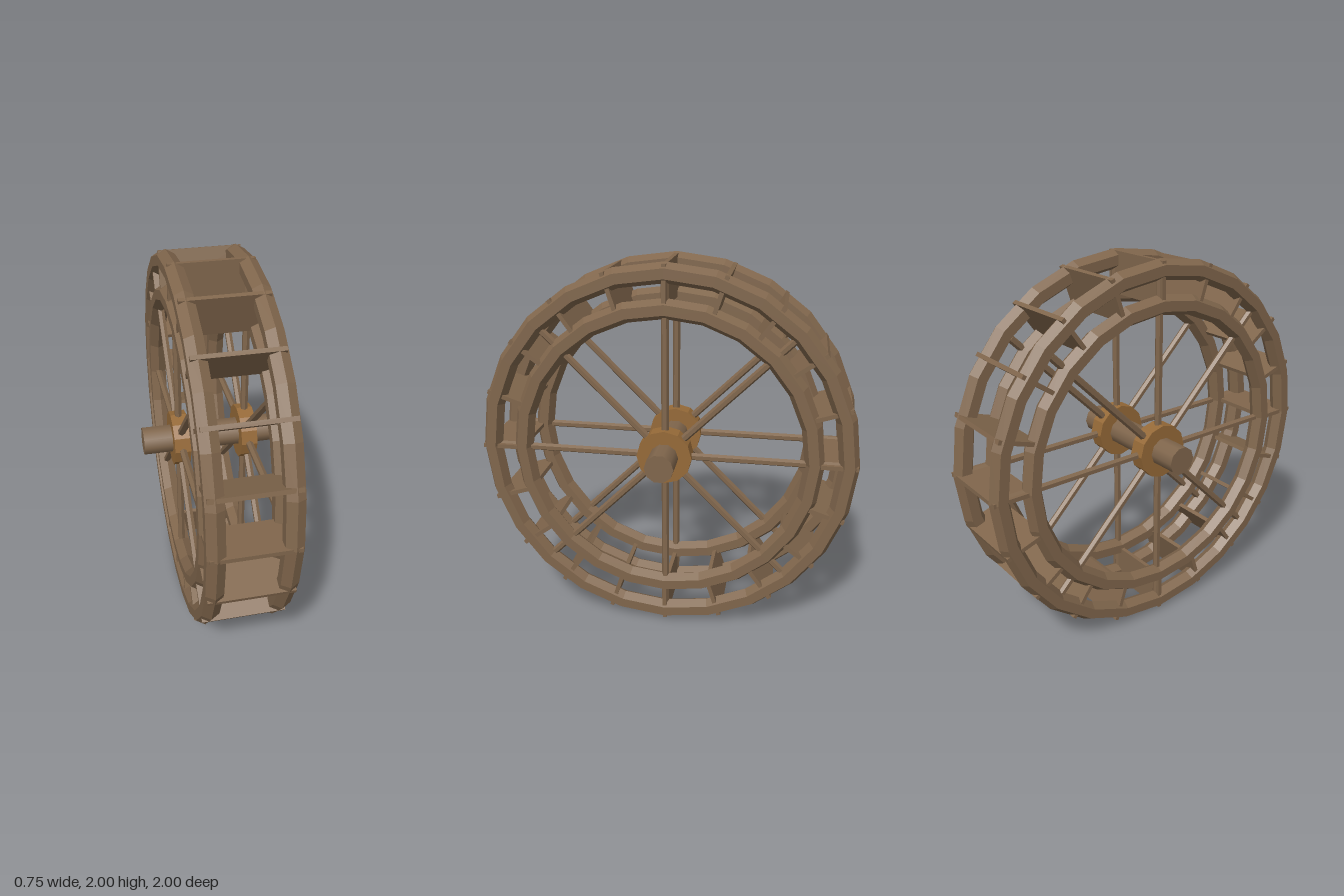
import * as THREE from 'three';

const wood = new THREE.MeshStandardMaterial({ color: 0x80664c });
wood.name = 'weathered wood';
const hubWood = new THREE.MeshStandardMaterial({ color: 0x966a38 });
hubWood.name = 'golden hub wood';

const SIDE_X = 0.18; // distance of each wheel frame from the middle
const TUBE = 0.052;

function add(parent, name, geometry, material) {
  const mesh = new THREE.Mesh(geometry, material);
  mesh.name = name;
  parent.add(mesh);
  return mesh;
}

// hexagonal-section rim lying in the y-z plane
function rimGeometry(radius) {
  const g = new THREE.TorusGeometry(radius, TUBE, 6, 24).rotateY(Math.PI / 2).toNonIndexed();
  g.computeVertexNormals();
  return g;
}

// bar along x
function barGeometry(radius, length, sides) {
  return new THREE.CylinderGeometry(radius, radius, length, sides).rotateZ(Math.PI / 2);
}

// one side frame: two rims, hub and eight spokes
function sideFrame(x) {
  const frame = new THREE.Group();
  frame.name = 'sideFrame';
  frame.position.x = x;
  add(frame, 'outerRim', rimGeometry(0.946), wood);
  add(frame, 'innerRim', rimGeometry(0.772), wood);

  const hub = barGeometry(0.145, 0.085, 12).toNonIndexed();
  hub.computeVertexNormals();
  add(frame, 'hub', hub, hubWood);

  const inner = 0.06, outer = 0.9;
  for (let i = 0; i < 8; i++) {
    const spoke = new THREE.CylinderGeometry(0.02, 0.02, outer - inner, 6)
      .translate(0, (inner + outer) / 2, 0)
      .toNonIndexed();
    spoke.computeVertexNormals();
    add(frame, 'spoke', spoke, wood).rotation.x = (i * Math.PI) / 4;
  }
  return frame;
}

export function createModel() {
  const model = new THREE.Group();
  model.name = 'waterWheel';
  const wheel = new THREE.Group();
  wheel.name = 'wheel';
  wheel.position.y = 1;
  model.add(wheel);

  for (const s of [-1, 1]) wheel.add(sideFrame(s * SIDE_X));

  add(wheel, 'axle', barGeometry(0.076, 0.75, 10), wood);

  // radial paddles joining both frames
  const inner = 0.77, outer = 0.99;
  const paddle = new THREE.BoxGeometry(0.43, outer - inner, 0.022)
    .translate(0, (inner + outer) / 2, 0);
  for (let i = 0; i < 20; i++) {
    add(wheel, 'paddle', paddle, wood).rotation.x = (i * Math.PI) / 10;
  }
  return model;
}
